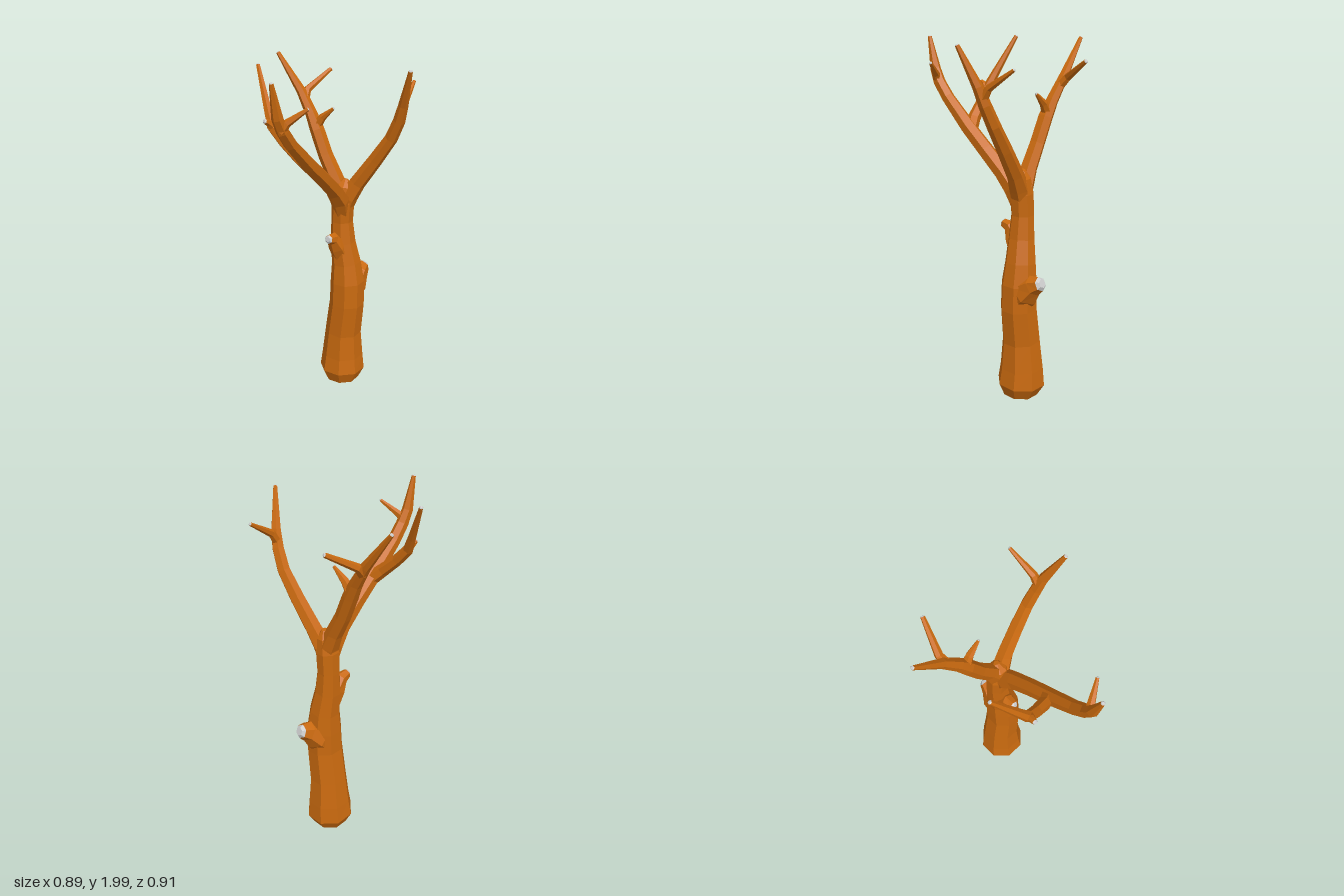
import * as THREE from 'three';

const bark = new THREE.MeshStandardMaterial({ color: 0xc8690f, flatShading: true });
const cutWood = new THREE.MeshStandardMaterial({ color: 0xcccccc, flatShading: true });

// Rings [x, y, z, radius] are set square to the path, turned as little as possible.
function makeRings(path, sides) {
  const pts = path.map(p => new THREE.Vector3(p[0], p[1], p[2]));
  const last = pts.length - 1;
  const tangents = pts.map((p, i) => {
    const t = new THREE.Vector3();
    if (i > 0) t.add(p.clone().sub(pts[i - 1]).normalize());
    if (i < last) t.add(pts[i + 1].clone().sub(p).normalize());
    return t.normalize();
  });
  let u = new THREE.Vector3(1, 0, 0);
  if (Math.abs(tangents[0].x) > 0.8) u.set(0, 0, 1);
  return pts.map((p, i) => {
    const t = tangents[i];
    u = u.clone().addScaledVector(t, -u.dot(t)).normalize();
    const v = new THREE.Vector3().crossVectors(t, u);
    return Array.from({ length: sides }, (_, k) => {
      const a = (k + 0.5) / sides * Math.PI * 2;
      return p.clone()
        .addScaledVector(u, Math.cos(a) * path[i][3])
        .addScaledVector(v, Math.sin(a) * path[i][3]);
    });
  });
}

// Skins consecutive rings; both ends are closed with a fan.
function skin(rings, closeStart, closeEnd) {
  const pos = [];
  const tri = (a, b, c) => [a, b, c].forEach(p => pos.push(p.x, p.y, p.z));
  const n = rings[0].length;
  const centre = ring => ring.reduce((s, p) => s.add(p), new THREE.Vector3()).divideScalar(n);
  for (let i = 0; i + 1 < rings.length; i++) {
    for (let k = 0; k < n; k++) {
      const j = (k + 1) % n;
      const [a, b] = [rings[i], rings[i + 1]];
      tri(a[k], a[j], b[j]);
      tri(a[k], b[j], b[k]);
    }
  }
  const first = rings[0], end = rings[rings.length - 1];
  const c0 = centre(first), c1 = centre(end);
  for (let k = 0; k < n; k++) {
    const j = (k + 1) % n;
    if (closeStart) tri(c0, first[j], first[k]);
    if (closeEnd) tri(c1, end[k], end[j]);
  }
  const g = new THREE.BufferGeometry();
  g.setAttribute('position', new THREE.Float32BufferAttribute(pos, 3));
  g.computeVertexNormals();
  return g;
}

// A limb in bark, with a pale bevelled cap on its broken end.
function limb(name, path, sides = 6, cap = true) {
  const group = new THREE.Group();
  group.name = name;
  const rings = makeRings(path, sides);
  const wood = new THREE.Mesh(skin(rings, true, !cap), bark);
  wood.name = name + 'Bark';
  group.add(wood);
  if (cap) {
    const [p, q] = path.slice(-2);
    const r = q[3];
    const dir = new THREE.Vector3(q[0] - p[0], q[1] - p[1], q[2] - p[2]).normalize();
    const rim = rings[rings.length - 1];
    const mid = new THREE.Vector3(q[0], q[1], q[2]);
    const inner = rim.map(v => v.clone().lerp(mid, 0.4).addScaledVector(dir, r * 0.4));
    const tip = new THREE.Mesh(skin([rim, inner], false, true), cutWood);
    tip.name = name + 'Tip';
    group.add(tip);
  }
  return group;
}

export function createModel() {
  const tree = new THREE.Group();
  tree.name = 'bareTree';

  // Trunk, with a bevelled foot and a slight sway
  tree.add(limb('trunk', [
    [0.02, 0.0, -0.23, 0.03], [0.02, 0.03, -0.23, 0.1], [0.018, 0.1, -0.235, 0.136],
    [0.018, 0.2, -0.238, 0.124], [0.022, 0.36, -0.236, 0.108], [0.045, 0.56, -0.234, 0.103],
    [0.045, 0.7, -0.236, 0.1], [0.036, 0.82, -0.236, 0.086], [0.018, 0.95, -0.226, 0.073],
    [0.01, 1.08, -0.225, 0.063], [0.015, 1.2, -0.222, 0.066], [0.022, 1.29, -0.225, 0.052],
    [0.025, 1.33, -0.235, 0.015],
  ], 8, false));

  // Broken stubs on the trunk
  tree.add(limb('frontStub', [
    [0.02, 0.86, -0.22, 0.06], [0.012, 0.94, -0.175, 0.055],
    [0.006, 0.995, -0.135, 0.037], [0.006, 1.005, -0.09, 0.026],
  ]));
  tree.add(limb('backStub', [
    [0.045, 0.62, -0.24, 0.08], [0.05, 0.67, -0.29, 0.087],
    [0.058, 0.72, -0.35, 0.058], [0.06, 0.74, -0.395, 0.04],
  ]));

  // Front bough with its twig and side branch
  tree.add(limb('frontBough', [
    [0.02, 1.13, -0.21, 0.045], [0.025, 1.22, -0.175, 0.056], [0.032, 1.295, -0.105, 0.048],
    [0.036, 1.4, 0.015, 0.045], [0.036, 1.51, 0.145, 0.043], [0.034, 1.66, 0.305, 0.036],
    [0.034, 1.74, 0.37, 0.034], [0.03, 1.81, 0.405, 0.03], [0.03, 1.985, 0.447, 0.011],
  ]));
  tree.add(limb('frontTwig', [
    [0.034, 1.74, 0.385, 0.024], [0.06, 1.785, 0.37, 0.021], [0.148, 1.855, 0.318, 0.009],
  ]));
  tree.add(limb('sideBranch', [
    [0.04, 1.49, 0.13, 0.04], [-0.02, 1.55, 0.16, 0.036], [-0.1, 1.625, 0.18, 0.031],
    [-0.165, 1.7, 0.192, 0.029], [-0.205, 1.78, 0.17, 0.023], [-0.31, 1.985, 0.105, 0.011],
  ]));
  tree.add(limb('sideTwig', [
    [-0.155, 1.69, 0.19, 0.025], [-0.166, 1.72, 0.215, 0.02], [-0.17, 1.735, 0.243, 0.014],
  ]));

  // Left bough and its twig
  tree.add(limb('leftBough', [
    [0.02, 1.14, -0.225, 0.045], [0.045, 1.23, -0.23, 0.055], [0.095, 1.315, -0.245, 0.046],
    [0.195, 1.46, -0.26, 0.041], [0.285, 1.595, -0.267, 0.036], [0.335, 1.7, -0.255, 0.033],
    [0.365, 1.79, -0.236, 0.027], [0.433, 1.985, -0.168, 0.011],
  ]));
  tree.add(limb('leftTwig', [
    [0.345, 1.73, -0.25, 0.026], [0.343, 1.785, -0.285, 0.021], [0.325, 1.88, -0.43, 0.009],
  ]));

  // Right bough and its two twigs
  tree.add(limb('rightBough', [
    [0.02, 1.14, -0.225, 0.045], [0.0, 1.24, -0.225, 0.055], [-0.04, 1.33, -0.225, 0.046],
    [-0.105, 1.45, -0.225, 0.042], [-0.165, 1.585, -0.23, 0.041], [-0.21, 1.67, -0.238, 0.034],
    [-0.285, 1.785, -0.25, 0.027], [-0.438, 1.985, -0.245, 0.011],
  ]));
  tree.add(limb('rightBackTwig', [
    [-0.26, 1.74, -0.245, 0.027], [-0.27, 1.79, -0.29, 0.022], [-0.215, 1.885, -0.445, 0.012],
  ]));
  tree.add(limb('rightInnerTwig', [
    [-0.175, 1.6, -0.232, 0.03], [-0.135, 1.66, -0.238, 0.022], [-0.066, 1.718, -0.244, 0.008],
  ]));

  return tree;
}
